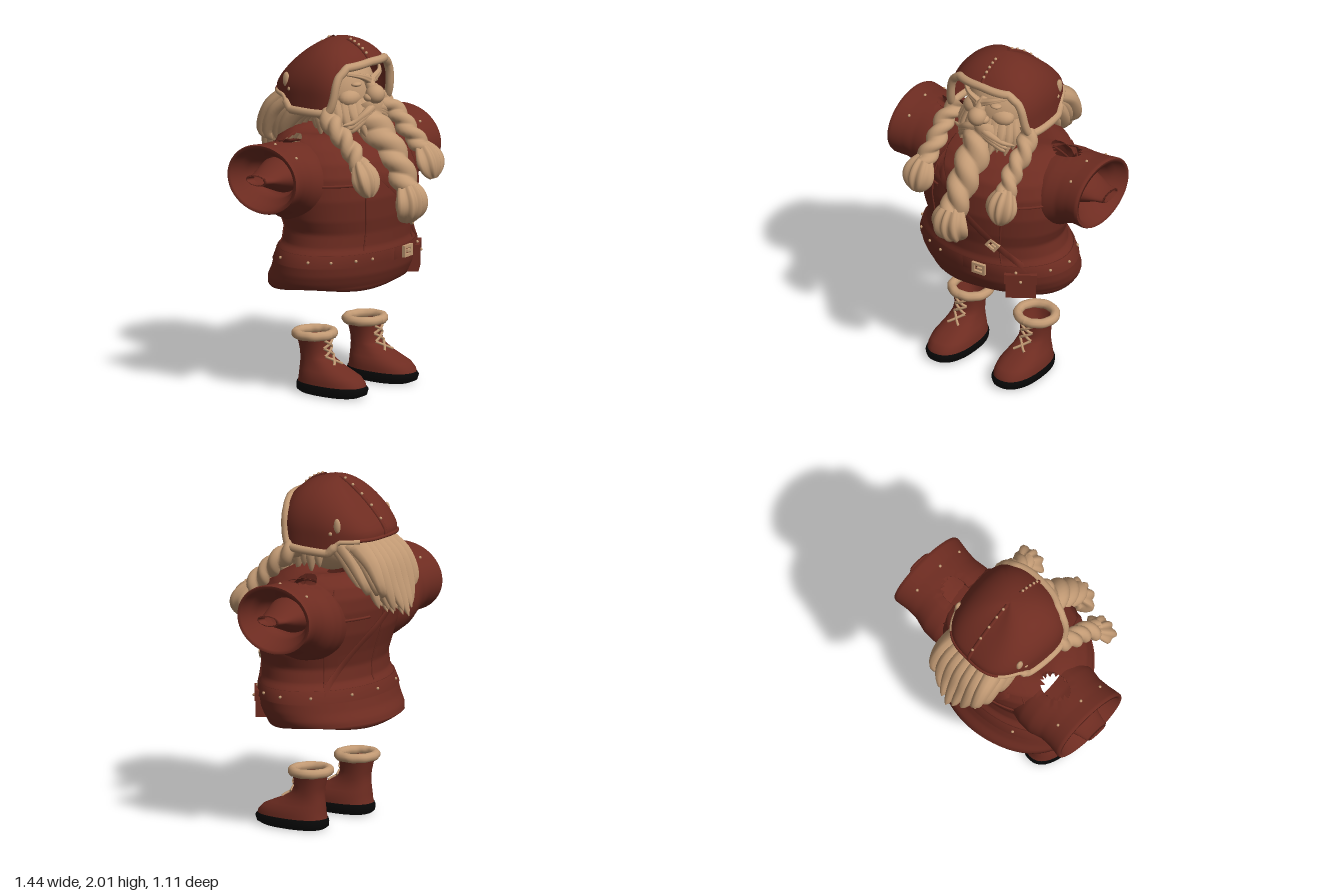
import * as THREE from 'three';

const V = (x, y, z) => new THREE.Vector3(x, y, z);
const mat = (name, color, side = THREE.DoubleSide) => Object.assign(new THREE.MeshStandardMaterial({ color, side }), { name });
const TAU = Math.PI * 2, lerp = THREE.MathUtils.lerp;
const spow = (v, p) => Math.sign(v) * Math.abs(v) ** p;

// Piecewise-linear lookup in rows keyed by their first column
function sample(rows, key) {
  let i = 0;
  while (i < rows.length - 2 && key > rows[i + 1][0]) i++;
  const t = THREE.MathUtils.clamp((key - rows[i][0]) / (rows[i + 1][0] - rows[i][0]), 0, 1);
  return rows[i].map((v, k) => lerp(v, rows[i + 1][k], t));
}

// Skin over a list of closed rings; skip(centre) leaves quads out
function loft(rings, skip) {
  const n = rings[0].length, idx = [];
  for (let i = 0; i < rings.length - 1; i++) for (let j = 0; j < n; j++) {
    const k = (j + 1) % n, a = i * n + j, b = i * n + k, c = a + n, d = b + n;
    if (skip && skip(rings[i][j].clone().add(rings[i + 1][k]).multiplyScalar(0.5))) continue;
    idx.push(a, b, c, b, d, c);
  }
  const g = new THREE.BufferGeometry().setFromPoints(rings.flat());
  g.setIndex(idx);
  g.computeVertexNormals();
  return g;
}
const ring = (n, fn) => Array.from({ length: n }, (_, j) => fn(j / n * TAU));

// Tube along points with radius r(t, angle)
function tube(points, r, steps = 16, sides = 10, closed = false) {
  const curve = new THREE.CatmullRomCurve3(points, closed);
  const f = curve.computeFrenetFrames(steps, closed), rings = [];
  for (let i = 0; i <= steps; i++) {
    const t = i / steps, p = curve.getPointAt(t);
    rings.push(ring(sides, a => p.clone()
      .addScaledVector(f.normals[i], Math.cos(a) * r(t, a))
      .addScaledVector(f.binormals[i], Math.sin(a) * r(t, a))));
  }
  return loft(rings);
}
// Lobed, flattened tuft radius
const tuftRadius = (size, lobes) => (t, a) => size * Math.sin(Math.PI * Math.min(1, 0.1 + t ** 1.15 * 0.86)) ** 0.6
  * (0.88 + 0.12 * Math.cos(lobes * a)) / Math.hypot(Math.cos(a), Math.sin(a) / 0.62);

// Coat body: y, half width, front z, back z
const COAT = [[0.62, 0.46, 0.3, -0.39], [0.66, 0.48, 0.32, -0.38], [0.71, 0.488, 0.34, -0.35], [0.77, 0.488, 0.35, -0.33],
  [0.83, 0.465, 0.355, -0.315], [0.87, 0.435, 0.345, -0.29], [0.95, 0.42, 0.35, -0.285], [1.03, 0.45, 0.365, -0.305],
  [1.15, 0.475, 0.378, -0.345], [1.28, 0.48, 0.368, -0.368], [1.36, 0.455, 0.335, -0.37], [1.43, 0.41, 0.26, -0.345],
  [1.47, 0.36, 0.18, -0.29], [1.49, 0.3, 0.11, -0.24]];
function coatAt(a, y, k = 1) {
  const [, w, zf, zb] = sample(COAT, y), c = (zf + zb) / 2;
  return V(Math.sin(a) * w * k, y, c + Math.cos(a) * (zf - c) * k);
}
// Oval openings on top of the shoulders (distance 1 = rim), and through the arms
const HOLE = { x: 0.4, z: -0.09, rx: 0.1, rz: 0.07 };
const holeDistance = p => p.y < 1.4 ? 9 : Math.hypot((Math.abs(p.x) - HOLE.x) / HOLE.rx, (p.z - HOLE.z) / HOLE.rz);
function snapToRim(p) {
  const d = holeDistance(p);
  if (d > 0.75 && d < 1.3) p.set(Math.sign(p.x) * (HOLE.x + (Math.abs(p.x) - HOLE.x) / d), p.y, HOLE.z + (p.z - HOLE.z) / d);
  return p;
}
const shoulderHole = p => holeDistance(p) < 0.98;
const armHole = p => Math.abs(p.x) > 0.3 && ((p.y - 1.28) / 0.15) ** 2 + ((p.z + 0.05) / 0.2) ** 2 < 1;

// Helmet surface: angle from the front, height; widest ahead of the ears
function helmetAt(a, y) {
  const s = Math.sin(a), c = Math.cos(a), back = Math.max(0, -c);
  const u = Math.max(0, (y - 1.72) / 0.28), p = lerp(2.1, 1.25, back);
  const f = Math.max(0, 1 - u ** p) ** (1 / p), e = lerp(0.82, 0.68, back);
  return V(spow(s, e) * 0.285 * (1 + 0.08 * c) * f, y, -0.05 + spow(c, e) * (c > 0 ? 0.285 : 0.33) * f);
}
const HELMET_EDGE = [[0, 1.885], [0.65, 1.875], [0.9, 1.82], [1.03, 1.66], [1.15, 1.62], [1.85, 1.61], [2.05, 1.68], [3.15, 1.69]];
const helmetEdge = a => sample(HELMET_EDGE, Math.abs(a))[1];

export function createModel() {
  const root = new THREE.Group();
  const red = mat('red leather', 0x6e2c21), tan = mat('tan hair and fur', 0xc29a74), black = mat('black rubber', 0x080808);
  const add = (name, geo, m, parent = root) => {
    const o = new THREE.Mesh(geo, m);
    o.name = name;
    parent.add(o);
    return o;
  };
  const stud = (p, r, name, parent = root) => {
    const o = add(name, new THREE.SphereGeometry(r, 8, 6), tan, parent);
    o.position.copy(p);
    return o;
  };
  const path = (n, fn) => Array.from({ length: n + 1 }, (_, i) => fn(i / n));

  // Coat: inner ledge, hem, outer shell, sunken neck
  const coatRings = [[0.86, 0.9], [0.76, 0.78], [0.68, 0.78], [0.64, 0.9]].map(([y, k]) => ring(112, a => coatAt(a, y, k)));
  for (let i = 0; i <= 70; i++) coatRings.push(ring(112, a => snapToRim(coatAt(a, lerp(0.62, 1.49, i / 70)))));
  coatRings.push(ring(112, a => coatAt(a, 1.49, 0.8).setY(1.48)), ring(112, a => coatAt(a, 1.49, 0.3).setY(1.45)));
  coatRings[4].forEach((p, j) => { p.y += 0.01 * Math.sin(j / 112 * TAU * 4); });
  add('coat', loft(coatRings, p => armHole(p) || shoulderHole(p)), red);

  // Raised bands that follow the coat; path gives [angle, y]
  const band = (name, pts, half, k) => add(name, loft(pts.map(([a, y]) =>
    [[-half, 0.99], [-half, k], [half, k], [half, 0.99]].map(([d, s]) => coatAt(a, y + d, s)))), red);
  band('belt', path(64, t => [t * TAU, 0.8]), 0.035, 1.015);
  const FRONT_STRAP = [[-0.6, 1.44], [-0.2, 1.25], [0.45, 0.98], [0.85, 0.83]], BACK_STRAP = [[2.3, 0.83], [2.9, 1.12], [3.75, 1.43]];
  band('frontStrap', path(40, t => sample(FRONT_STRAP, lerp(-0.6, 0.85, t))), 0.028, 1.018);
  band('backStrap', path(40, t => sample(BACK_STRAP, lerp(2.3, 3.75, t))), 0.028, 1.018);
  for (const a of [-0.5, 0.54, 2.3, Math.PI, 3.95])
    add('coatSeam', tube(path(24, t => coatAt(a, lerp(0.85, 1.42, t), 1.004)), () => 0.005, 40, 6), red);
  for (const c of [-0.78, 0.78, 2.5, 3.78])
    add('yokeSeam', tube(path(10, t => coatAt(c + lerp(-0.4, 0.4, t), 1.24, 1.005)), () => 0.008, 16, 6), red);
  for (const a of [-2.6, -1.9, -1.3, -0.95, -0.6, -0.36, 0.7, 1.2, 1.6, 2.1, 2.7, 3.14]) stud(coatAt(a, 0.8, 1.018), 0.009, 'beltStud');

  // Buckles: a square frame with a prong
  for (const [x, y, z, s, tilt, turn] of [[0.115, 0.8, 0.362, 0.034, 0, 0.1], [0.19, 0.97, 0.332, 0.028, -0.65, 0.35]]) {
    const g = new THREE.Group();
    g.name = 'buckle';
    for (const q of [-1, 1]) {
      add('buckleSide', new THREE.BoxGeometry(s * 0.5, s * 1.9, 0.018), tan, g).position.x = q * s;
      add('buckleBar', new THREE.BoxGeometry(s * 2.5, s * 0.45, 0.018), tan, g).position.y = q * s * 0.75;
    }
    add('bucklePin', new THREE.BoxGeometry(s * 1.4, s * 0.4, 0.016), tan, g).position.x = s * 0.4;
    g.position.set(x, y, z);
    g.rotation.set(0, turn, tilt);
    root.add(g);
  }

  // Belt pouch
  const pouch = new THREE.Group();
  pouch.name = 'pouch';
  add('pouchBody', new THREE.BoxGeometry(0.17, 0.15, 0.08), red, pouch);
  add('pouchFlap', new THREE.BoxGeometry(0.185, 0.06, 0.092), red, pouch).position.y = 0.05;
  stud(V(0, 0.035, 0.048), 0.009, 'pouchStud', pouch);
  pouch.position.set(0.318, 0.715, 0.238);
  pouch.rotation.y = 0.6;
  root.add(pouch);

  for (const s of [1, -1]) {
    const side = new THREE.Group();
    side.name = s > 0 ? 'leftSide' : 'rightSide';
    side.scale.x = s;
    root.add(side);

    // Sleeve with thick rim, and the hollow stub inside: x, centre y, y radius, z radius
    const SLEEVE = [[0.26, 1.215, 0.225, 0.225], [0.34, 1.23, 0.236, 0.248], [0.42, 1.245, 0.23, 0.252], [0.5, 1.27, 0.208, 0.235], [0.57, 1.285, 0.195, 0.238],
      [0.65, 1.29, 0.2, 0.25], [0.662, 1.29, 0.195, 0.245]];
    const sleeve = (rows, skip) => loft(rows.map(([x, y, ry, rz]) => ring(72, a => snapToRim(V(x, y + Math.cos(a) * ry, -0.07 + Math.sin(a) * rz)))), skip);
    add('sleeve', sleeve(path(36, t => sample(SLEEVE, lerp(0.26, 0.662, t))), shoulderHole), red, side);
    add('sleeveLining', sleeve([[0.662, 1.29, 0.195, 0.245], [0.66, 1.29, 0.175, 0.225], [0.6, 1.29, 0.16, 0.205], [0.58, 1.29, 0.125, 0.17],
      [0.52, 1.29, 0.115, 0.155], [0.5, 1.29, 0.1, 0.14]]), red, side);
    add('sleeveStub', sleeve([[0.5, 1.29, 0.1, 0.14], [0.6, 1.29, 0.06, 0.105], [0.66, 1.29, 0.032, 0.085], [0.71, 1.295, 0.032, 0.075],
      [0.72, 1.295, 0.024, 0.06], [0.66, 1.29, 0.024, 0.058]]), red, side);
    for (const z of [-0.23, -0.05, 0.1])
      stud(V(0.565, 1.284 + 0.196 * Math.sqrt(1 - ((z + 0.07) / 0.238) ** 2), z), 0.009, 'sleeveStud', side);

    // Side braid and its tuft
    add('sideBraid', tube([V(0.24, 1.62, 0.06), V(0.275, 1.55, 0.14), V(0.27, 1.46, 0.24), V(0.285, 1.35, 0.34)],
      (t, a) => 0.038 + 0.024 * Math.abs(Math.sin(t * 12 + a)), 50, 20), tan, side);
    add('sideTuft', tube([V(0.285, 1.38, 0.33), V(0.288, 1.3, 0.38), V(0.29, 1.19, 0.41)], tuftRadius(0.105, 7), 18, 42), tan, side);

    // Face features
    const ball = (name, x, y, z, rx, ry, rz) => {
      const o = add(name, new THREE.SphereGeometry(1, 18, 12), tan, side);
      o.position.set(x, y, z);
      o.scale.set(rx, ry, rz);
    };
    ball('cheek', 0.09, 1.685, 0.11, 0.08, 0.055, 0.06);
    ball('eye', 0.075, 1.765, 0.145, 0.034, 0.014, 0.03);
    ball('nostril', 0.04, 1.69, 0.205, 0.026, 0.024, 0.03);
    add('eyebrow', tube([V(0.015, 1.785, 0.19), V(0.08, 1.815, 0.185), V(0.165, 1.835, 0.12)],
      (t, a) => 0.024 * (1 - 0.75 * t) * (0.85 + 0.15 * Math.cos(5 * a)), 14, 20), tan, side);
    for (let i = 0; i < 3; i++)
      add('moustache', tube([V(0, 1.635 - i * 0.012, 0.205), V(0.07, 1.61 - i * 0.014, 0.215), V(0.15, 1.56 - i * 0.025, 0.18), V(0.21 - i * 0.03, 1.55 - i * 0.03, 0.15)],
        t => 0.026 * (1 - t) ** 0.6 + 0.002, 14, 8), tan, side);

    // Torn fur patch and stud at the ear
    const ear = helmetAt(2.02, 1.77);
    stud(ear, 0.024, 'earPatch', side).scale.set(0.6, 1.9, 1);
    stud(ear.clone().add(V(0.012, -0.045, 0.035)), 0.014, 'earStud', side);

    // Boot: y, half width, front z, back z
    const boot = new THREE.Group();
    boot.name = 'boot';
    boot.position.x = 0.23;
    side.add(boot);
    const section = ([y, w, zf, zb]) => ring(36, a => V(spow(Math.sin(a), 0.85) * w, y, (zf + zb) / 2 + spow(Math.cos(a), 0.85) * (zf - zb) / 2));
    add('bootLeather', loft([[0.05, 0.122, 0.312, -0.125], [0.08, 0.12, 0.305, -0.118], [0.11, 0.114, 0.275, -0.115], [0.135, 0.102, 0.22, -0.113],
      [0.165, 0.089, 0.15, -0.11], [0.2, 0.082, 0.085, -0.107], [0.24, 0.081, 0.065, -0.11], [0.3, 0.086, 0.07, -0.125], [0.345, 0.1, 0.075, -0.135],
      [0.3, 0.075, 0.055, -0.11], [0.2, 0.07, 0.05, -0.1], [0.18, 0.001, -0.02, -0.022]].map(section)), red, boot);
    add('sole', loft([[0, 0.001, 0.1, 0.098], [0, 0.105, 0.28, -0.11], [0.015, 0.124, 0.315, -0.13], [0.045, 0.128, 0.325, -0.132],
      [0.062, 0.122, 0.312, -0.126]].map(section)), black, boot);
    add('furCuff', tube(ring(16, a => V(Math.sin(a) * 0.108, 0.332, -0.03 + Math.cos(a) * 0.103)), (t, a) => 0.027 + 0.001 * Math.sin(t * TAU * 9 + a), 48, 10, true), tan, boot);
    // Crossed laces
    const LACE = [[0.15, 0.19], [0.165, 0.155], [0.2, 0.09], [0.24, 0.07], [0.3, 0.074]];
    for (let i = 0; i < 3; i++) for (const q of [-1, 1])
      add('lace', tube(path(4, t => {
        const x = q * lerp(-0.038, 0.038, t), y = 0.17 + i * 0.045 + 0.045 * t;
        return V(x, y, sample(LACE, y)[1] - x * x * 9 + 0.005);
      }), () => 0.008, 6, 6), tan, boot);
  }

  // Head and nose
  const head = add('head', new THREE.SphereGeometry(1, 32, 24), tan);
  head.position.set(0, 1.69, -0.02);
  head.scale.set(0.195, 0.24, 0.195);
  add('nose', new THREE.SphereGeometry(0.055, 20, 14), tan).position.set(0, 1.705, 0.222);
  add('noseBridge', tube([V(0, 1.8, 0.15), V(0, 1.76, 0.185), V(0, 1.71, 0.215)], t => 0.022 + 0.015 * t, 8, 10), tan);

  // Beard fringe round the jaw
  for (let i = -9; i <= 9; i++) {
    const a = i * 0.22, s = Math.sin(a), c = Math.cos(a), drop = i % 2 ? 0.03 : 0;
    add('jawLock', tube([V(s * 0.16, 1.65, c * 0.14), V(s * 0.2, 1.57 + drop / 2, 0.02 + c * 0.18), V(s * 0.2, 1.47 + drop, 0.03 + c * 0.22)],
      t => 0.05 * (1 - t) ** 0.7 + 0.003, 10, 8), tan);
  }
  // Centre braid and its tuft
  add('beardBraid', tube([V(0, 1.62, 0.13), V(0, 1.53, 0.19), V(0.005, 1.42, 0.3), V(0.005, 1.3, 0.385), V(0, 1.19, 0.45)],
    (t, a) => lerp(0.085, 0.055, t) + 0.028 * Math.abs(Math.sin(t * 12 + a)), 60, 24), tan);
  add('beardTuft', tube([V(0, 1.23, 0.44), V(0, 1.12, 0.482), V(0.01, 1.0, 0.435)], tuftRadius(0.125, 8), 20, 48), tan);

  // Hair sweeping out behind: four layers of pointed locks
  for (let k = 0; k < 4; k++) for (let i = -3; i <= 3; i++) {
    const x = i * 0.052 + (k % 2 ? 0.015 : -0.005), q = i * i * 0.01, lift = k * 0.05 - 0.05;
    add('hairLock', tube([V(x * 0.9, 1.64, -0.2 - lift), V(x * 1.05, 1.56, -0.29 - lift * 1.2), V(x * 1.05, 1.43, -0.365 - lift * 1.1),
      V(x * 0.8, 1.25 + q + (i % 2 ? 0.03 : 0), -0.445 - lift * 1.05 + q)],
    (t, a) => 0.066 * (1 - t) ** 0.5 * (0.88 + 0.12 * Math.cos(4 * a)) + 0.002, 14, 12), tan);
  }

  // Helmet shell with face opening and ear flaps
  const helmetRings = path(26, t => ring(96, a => {
    const b = a > Math.PI ? a - TAU : a;
    return helmetAt(b, 2 - (2 - helmetEdge(b)) * t ** 1.6);
  }));
  add('helmet', loft(helmetRings), red);
  add('helmetBackHem', tube(path(20, t => helmetAt(lerp(2.5, TAU - 2.5, t), 1.69)), () => 0.011, 30, 8), red);
  add('helmetTrim', tube(path(70, t => { const a = lerp(-2.5, 2.5, t); return helmetAt(a, helmetEdge(a)); }),
    t => (Math.abs(t - 0.5) > 0.42 ? 0.013 : 0.024), 120, 10), tan);
  for (const a of [0, Math.PI]) {
    const low = a ? 1.7 : 1.9;
    const ridge = t => helmetAt(a, 1.992 - (1.992 - low) * t ** 1.7);
    add('helmetRidge', tube(path(14, ridge), () => 0.012, 24, 8), red);
    for (let i = 1; i <= 5; i++) stud(ridge(i / 6).add(V(0, 0.009, a ? -0.006 : 0.006)), 0.009, 'helmetStud');
  }
  return root;
}
